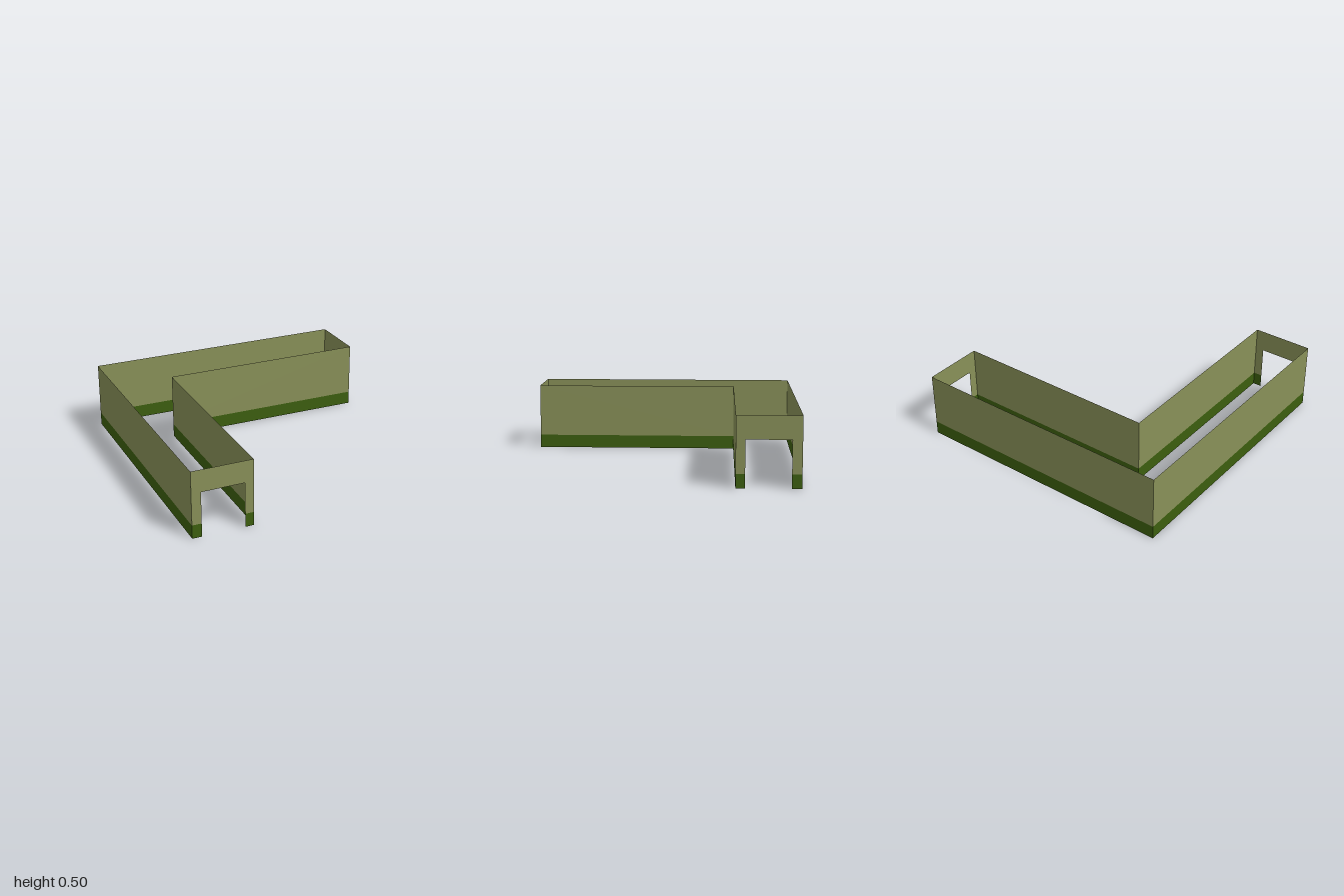
import * as THREE from 'three';

const HEIGHT = 0.5, BASE = 0.1, INNER = -0.55;
const DOOR = { from: 0.07, to: 0.385, top: 0.335 };

export function createModel() {
  const olive = new THREE.MeshStandardMaterial({ color: 0x889058, side: THREE.DoubleSide });
  olive.name = 'olive wall';
  const green = new THREE.MeshStandardMaterial({ color: 0x3c5e0e, side: THREE.DoubleSide });
  green.name = 'dark green base';

  const model = new THREE.Group();
  model.name = 'cornerCorridor';

  // Flat upright panel from outline points (distance along wall, height)
  const panel = (name, points, material) => {
    const shape = new THREE.Shape(points.map(([u, y]) => new THREE.Vector2(u, y)));
    const mesh = new THREE.Mesh(new THREE.ShapeGeometry(shape), material);
    mesh.name = name;
    return mesh;
  };
  const strip = (u0, u1, y0, y1) => [[u0, y0], [u1, y0], [u1, y1], [u0, y1]];

  // Thin wall between two floor points, optionally with a doorway
  const wall = (name, [x0, z0], [x1, z1], hasDoor = false) => {
    const length = Math.hypot(x1 - x0, z1 - z0);
    const group = new THREE.Group();
    group.name = name;
    group.position.set(x0, 0, z0);
    group.rotation.y = -Math.atan2(z1 - z0, x1 - x0);
    if (hasDoor) {
      const { from, to, top } = DOOR;
      group.add(
        panel('doorSurround', [[0, BASE], [from, BASE], [from, top], [to, top],
          [to, BASE], [length, BASE], [length, HEIGHT], [0, HEIGHT]], olive),
        panel('baseBandNear', strip(0, from, 0, BASE), green),
        panel('baseBandFar', strip(to, length, 0, BASE), green),
      );
    } else {
      group.add(
        panel('upperWall', strip(0, length, BASE, HEIGHT), olive),
        panel('baseBand', strip(0, length, 0, BASE), green),
      );
    }
    model.add(group);
  };

  // Outer walls
  wall('backWall', [-1, -1], [1, -1]);
  wall('rightWall', [-1, -1], [-1, 1]);
  // Inner corner walls
  wall('innerBackWall', [INNER, INNER], [1, INNER]);
  wall('innerRightWall', [INNER, INNER], [INNER, 1]);
  // End walls with doorways
  wall('frontEndWall', [-1, 1], [INNER, 1], true);
  wall('leftEndWall', [1, -1], [1, INNER], true);

  return model;
}
